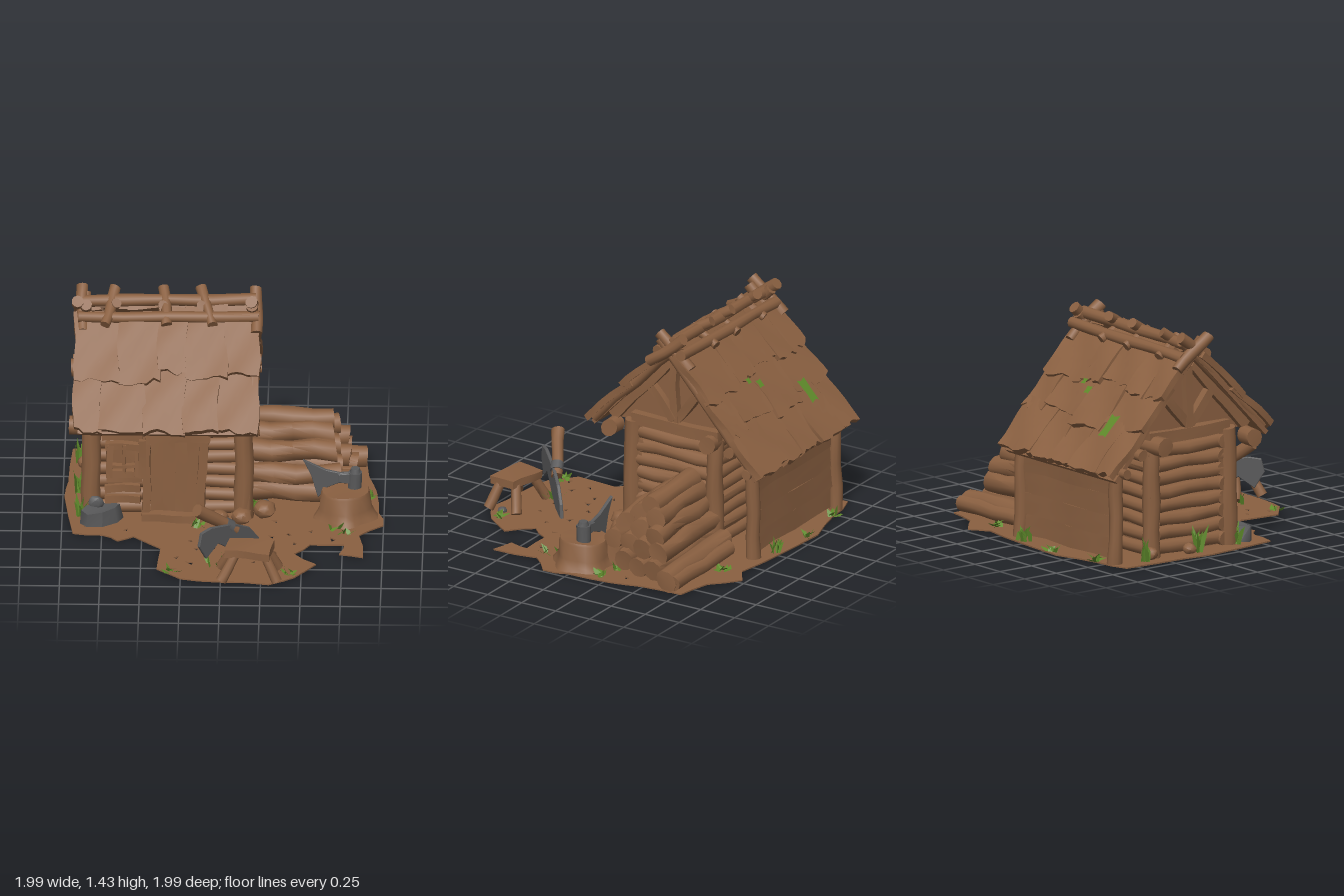
import * as THREE from 'three';
import { toCreasedNormals } from 'three/addons/utils/BufferGeometryUtils.js';

export function createModel() {
  const root = new THREE.Group();
  root.name = 'woodcutterHut';
  let seed = 7;
  const rnd = () => { seed = (seed * 16807) % 2147483647; return seed / 2147483647; };
  const vary = (a) => (rnd() - 0.5) * 2 * a;
  const V = (x, y, z) => new THREE.Vector3(x, y, z);
  const shapeOf = (pts) => new THREE.Shape(pts.map((p) => new THREE.Vector2(...p)));

  const mat = (name, color, side = THREE.FrontSide) => {
    const m = new THREE.MeshStandardMaterial({ color, side });
    m.name = name;
    return m;
  };
  const wood = mat('brownWood', 0x8a6041);
  const iron = mat('darkGrey', 0x59595a);
  const green = mat('leafGreen', 0x5f8a2b, THREE.DoubleSide);

  // Uneven hand-cut look: shift vertices by a smooth wave of their position
  function warp(geo, amp) {
    const p = geo.attributes.position, s = rnd() * 50;
    for (let i = 0; i < p.count; i++) {
      const x = p.getX(i), y = p.getY(i), z = p.getZ(i);
      p.setXYZ(i,
        x + amp * Math.sin(13 * y + 17 * z + s),
        y + amp * Math.sin(15 * x + 11 * z + s * 2),
        z + amp * Math.sin(16 * x + 14 * y + s * 3));
    }
    return toCreasedNormals(geo, 0.8);
  }
  function add(name, geo, material, pos, rot = [0, 0, 0], parent = root) {
    const m = new THREE.Mesh(geo, material);
    m.name = name;
    m.position.set(...pos);
    m.rotation.set(...rot);
    parent.add(m);
    return m;
  }
  function log(name, a, b, r0, r1 = r0, amp = 0.006, material = wood) {
    const A = V(...a), B = V(...b), d = B.clone().sub(A);
    const m = add(name, warp(new THREE.CylinderGeometry(r1, r0, d.length(), 10, 4), amp), material,
      A.clone().add(B).multiplyScalar(0.5).toArray());
    m.quaternion.setFromUnitVectors(V(0, 1, 0), d.normalize());
  }
  const plank = (name, size, pos, rot, amp = 0.006) =>
    add(name, warp(new THREE.BoxGeometry(...size, 4, 3, 3), amp), wood, pos, rot);
  const rock = (name, size, pos, material) => {
    const m = add(name, warp(new THREE.IcosahedronGeometry(1, 1), 0.07), material, pos);
    m.scale.set(...size);
  };

  // Ragged earth patch with small gaps
  const outline = [[-0.95, -0.85], [-0.7, -0.9], [-0.4, -0.98], [0, -0.95], [0.36, -0.9], [0.48, -0.98], [0.65, -0.83],
    [0.88, -0.78], [0.9, -0.5], [0.95, -0.3], [0.97, 0], [1, 0.16], [0.85, 0.3], [0.88, 0.6], [0.73, 0.56], [0.76, 0.43],
    [0.55, 0.43], [0.45, 0.56], [0.59, 0.7], [0.46, 0.88], [0.3, 0.98], [0, 0.95], [-0.25, 0.91], [-0.4, 0.78],
    [-0.38, 0.5], [-0.55, 0.34], [-0.65, 0.4], [-0.75, 0.32], [-0.93, 0.3], [-0.99, -0.2], [-0.97, -0.4]];
  const edge = outline.flatMap(([x, z], i) => {
    const [nx, nz] = outline[(i + 1) % outline.length];
    return [[x, -z], [(x + nx) / 2 + vary(0.014), -(z + nz) / 2 + vary(0.014)]];
  });
  const groundShape = shapeOf(edge);
  const gaps = [[0.55, 0.25], [0.32, 0.12], [0.3, 0.33], [0.05, 0.42], [-0.15, 0.5], [0.1, 0.56], [0.33, 0.55],
    [-0.28, 0.62], [0.42, 0.3], [0.68, 0.36], [0.9, 0.12], [0.84, -0.35], [0.88, -0.06], [-0.2, 0.4], [0.2, 0.68],
    [-0.3, 0.78], [-0.05, 0.5], [0.22, 0.45], [-0.2, 0.7], [0.45, 0.42], [0.05, 0.68], [-0.85, 0.2], [-0.6, 0.25]];
  for (const [x, z] of gaps) {
    const t = rnd() * 6, r = 0.016 + rnd() * 0.016;
    groundShape.holes.push(new THREE.Path([0, 1.4, 3.5].map((k) =>
      new THREE.Vector2(x + r * Math.cos(t + k), -z + r * Math.sin(t + k)))));
  }
  add('ground', new THREE.ExtrudeGeometry(groundShape, { depth: 0.009, bevelEnabled: false }), wood, [0, 0.005, 0], [-Math.PI / 2, 0, 0]);

  // Wall core and gable infill
  add('wallCore', new THREE.BoxGeometry(0.92, 0.74, 0.56), wood, [-0.34, 0.38, -0.28]);
  const gable = shapeOf([[-0.18, 0.74], [0.72, 0.74], [0.27, 1.24]]);
  add('gableInfill', new THREE.ExtrudeGeometry(gable, { depth: 0.92, bevelEnabled: false }), wood, [-0.8, 0, 0], [0, Math.PI / 2, 0]);

  // Horizontal wall logs
  for (let i = 0; i < 8; i++) {
    const y = 0.06 + i * 0.088;
    for (const x of [-0.8, 0.12]) log('sideWallLog', [x, y, 0.02], [x, y, -0.58], 0.046);
    log('frontWallLog', [-0.85, y, 0], [0.15, y, 0], 0.046);
    log('backWallLog', [-0.85, y, -0.55], [0.15, y, -0.55], 0.044);
  }

  // Corner posts, purlins and stub ends under the eaves
  for (const x of [-0.82, 0.13]) {
    log('frontPost', [x, 0.006, 0.05], [x, 0.76, 0.04], 0.064, 0.057);
    log('backPost', [x, 0.006, -0.555], [x, 0.73, -0.555], 0.056, 0.052);
    log('leanToPost', [x, 0.006, -0.84], [x, 0.62, -0.83], 0.046, 0.042);
  }
  for (const [z, y, r] of [[-0.55, 0.73, 0.06], [-0.72, 0.71, 0.036], [-0.84, 0.6, 0.032]])
    log('purlin', [-0.95, y, z], [0.22, y, z], r);
  for (const [a, b] of [[-0.95, -0.84], [0.15, 0.23]]) log('eaveStub', [a, 0.7, 0.16], [b, 0.7, 0.16], 0.058);

  // Lean-to back boards
  for (let i = 0; i < 4; i++)
    plank('backBoard', [0.96, 0.135, 0.035], [-0.35, 0.1 + i * 0.135, -0.82 + vary(0.01)], [vary(0.06), 0, vary(0.015)]);

  // Gable framing and rafters on both ends
  for (const [x, s] of [[0.14, 1], [-0.82, -1]]) {
    plank('tieBeam', [0.07, 0.075, 0.64], [x, 0.77, -0.28]);
    plank('kingPost', [0.05, 0.42, 0.05], [x, 0.98, -0.27]);
    for (const d of [-1, 1]) {
      plank('gableBrace', [0.05, 0.26, 0.055], [x, 0.91, -0.27 + d * 0.085], [d * 0.7, 0, 0]);
      plank('gableRafter', [0.06, 0.62, 0.07], [x, 0.98, -0.27 + d * 0.24], [-d * 0.75, 0, 0]);
    }
    log('rakeLog', [x + s * 0.045, 1.36, -0.34], [x + s * 0.045, 0.74, 0.29], 0.036);
    log('rakeLog', [x + s * 0.04, 1.36, -0.19], [x + s * 0.04, 0.6, -0.88], 0.036);
  }

  // Uneven slab whose lower edge is split into ragged ends
  function slabGeometry(w, l) {
    const geo = new THREE.BoxGeometry(w, 0.042, l, 6, 1, 5), p = geo.attributes.position;
    const jag = Array.from({ length: 7 }, () => vary(0.018));
    for (let i = 0; i < p.count; i++)
      if (p.getZ(i) > l * 0.49) p.setZ(i, p.getZ(i) + jag[Math.round((p.getX(i) / w + 0.5) * 6)]);
    return warp(geo, 0.008);
  }

  // Roof slopes: solid deck under overlapping slabs
  function roofSlope(dir, top, bottom, rows) {
    const dz = Math.abs(bottom[0] - top[0]), dy = top[1] - bottom[1];
    const a = Math.atan2(dy, dz), len = Math.hypot(dy, dz), step = len / rows;
    const at = (t, lift) => [top[1] - t * Math.sin(a) + lift * Math.cos(a), top[0] + dir * (t * Math.cos(a) + lift * Math.sin(a))];
    const turn = (q) => (dir > 0 ? q : Math.PI - q);
    add('roofDeck', new THREE.BoxGeometry(1.1, 0.03, len), wood, [-0.35, ...at(len / 2, -0.06)], [turn(a), 0, 0]);
    for (let r = 0; r < rows; r++) {
      let x = -0.92 + vary(0.01);
      while (x < 0.15) {
        let w = 0.16 + rnd() * 0.2;
        if (0.22 - x - w < 0.12) w = 0.22 - x;
        const l = step * 1.15 + rnd() * 0.05, shift = vary(r === rows - 1 ? 0.01 : 0.04);
        add('roofSlab', slabGeometry(w + 0.012, l), wood,
          [x + w / 2, ...at((r + 1) * step - l / 2 + shift + (r ? 0 : 0.03), -0.018 + vary(0.006))],
          [turn(a - 0.06), vary(0.02), 0]);
        x += w;
      }
    }
    return { at, tilt: turn(a - 0.06) };
  }
  roofSlope(1, [-0.18, 1.28], [0.34, 0.74], 2);
  const back = roofSlope(-1, [-0.35, 1.28], [-0.94, 0.59], 3);

  // Moss patches on the back slope
  const moss = shapeOf([[-0.5, -0.5], [0.1, -0.42], [0.5, -0.5], [0.4, 0.1], [0.5, 0.5], [-0.1, 0.42], [-0.4, 0.5], [-0.42, 0]]);
  for (const [x, t, w, l, lift] of [[-0.645, 0.59, 0.08, 0.17, 0.024], [-0.28, 0.4, 0.05, 0.055, 0.026], [-0.2, 0.35, 0.04, 0.04, 0.024]]) {
    const patch = add('roofMoss', new THREE.ShapeGeometry(moss), green, [x, ...back.at(t, lift)], [back.tilt + Math.PI / 2, 0, 0]);
    patch.scale.set(w, l, 1);
  }

  // Ridge poles held by crossed ties
  log('ridgePole', [-0.88, 1.335, -0.29], [0.2, 1.35, -0.29], 0.038);
  for (const z of [-0.185, -0.36]) log('ridgeSidePole', [-0.9, 1.27, z], [0.22, 1.285, z], 0.036);
  for (const [x, lean] of [[-0.69, -0.05], [-0.37, 0.02], [-0.12, 0.05]]) {
    log('ridgeTie', [x - lean * 0.4, 1.395, -0.36], [x + lean, 1.25, -0.13], 0.034);
    log('ridgeTie', [x - lean * 0.4, 1.35, -0.22], [x, 1.25, -0.4], 0.03);
  }
  for (const x of [-0.89, 0.19])
    for (const d of [-1, 1])
      log('ridgeEndTie', [x + d * 0.012, 1.395, -0.27 - d * 0.1], [x + d * 0.012, 1.2, -0.27 + d * 0.14], 0.038);

  // Door with frame and threshold
  for (let i = 0; i < 4; i++) plank('doorBoard', [0.078, 0.52, 0.035], [-0.41 + i * 0.076, 0.31, 0.085], [0, 0, 0], 0.003);
  plank('doorJamb', [0.05, 0.6, 0.08], [-0.475, 0.33, 0.09]);
  plank('doorJamb', [0.055, 0.58, 0.08], [-0.13, 0.31, 0.1], [0, 0, -0.05]);
  plank('doorLintel', [0.4, 0.075, 0.09], [-0.28, 0.605, 0.105], [0, 0, 0.02]);
  plank('doorSill', [0.4, 0.05, 0.12], [-0.3, 0.045, 0.1]);

  // Window, shutter and patch boards
  plank('windowPane', [0.16, 0.16, 0.03], [-0.61, 0.43, 0.06]);
  for (const y of [0.33, 0.52]) plank('windowRail', [0.25, 0.045, 0.05], [-0.6, y, 0.1]);
  for (const x of [-0.7, -0.61, -0.53]) plank('windowStile', [x === -0.61 ? 0.02 : 0.04, 0.22, 0.05], [x, 0.425, 0.1]);
  plank('windowBar', [0.18, 0.02, 0.04], [-0.61, 0.39, 0.1]);
  plank('shutter', [0.045, 0.26, 0.04], [-0.5, 0.45, 0.125], [0, 0, 0.04]);
  plank('windowHead', [0.25, 0.05, 0.05], [-0.62, 0.58, 0.08], [0, 0, -0.03]);
  for (let i = 0; i < 3; i++) plank('patchBoard', [0.22, 0.05, 0.03], [-0.62, 0.13 + i * 0.075, 0.06], [0, 0, vary(0.12)]);

  // Stacked firewood: [height, front end, first z, count]
  const stack = [[0.085, 0.73, -0.16, 5], [0.2, 0.71, -0.18, 4], [0.31, 0.69, -0.25, 3], [0.4, 0.68, -0.34, 2]];
  for (const [y, end, z0, n] of stack)
    for (let i = 0; i < n; i++) {
      const z = z0 - i * 0.125 + vary(0.012), h = y + vary(0.012), r = 0.066 + rnd() * 0.01;
      log('firewoodLog', [0.16, h + 0.015, z + 0.02], [end + i * 0.035 + vary(0.02), h, z - 0.01], r, r - 0.003, 0.01);
    }
  log('firewoodLog', [0.18, 0.475, -0.42], [0.68, 0.455, -0.43], 0.066, 0.066);
  log('firewoodLog', [0.2, 0.07, -0.7], [0.88, 0.065, -0.71], 0.052, 0.052);

  // Chopping stump with a lobed root flare
  const stump = [[0, 0], [0.2, 0], [0.18, 0.03], [0.162, 0.07], [0.152, 0.165], [0.145, 0.18], [0, 0.18]];
  const stumpGeo = new THREE.LatheGeometry(stump.map((p) => new THREE.Vector2(...p)), 20);
  const sp = stumpGeo.attributes.position;
  for (let i = 0; i < sp.count; i++) {
    const x = sp.getX(i), z = sp.getZ(i), k = 1 + 0.1 * Math.sin(5 * Math.atan2(z, x)) * Math.max(0, 1 - sp.getY(i) / 0.12);
    sp.setXYZ(i, x * k, sp.getY(i), z * k);
  }
  add('stump', warp(stumpGeo, 0.005), wood, [0.765, 0.006, 0.01]);

  // Axe heads: thin extruded blades
  const blade = (name, pts, pos, yaw, depth = 0.014) => add(name,
    new THREE.ExtrudeGeometry(shapeOf(pts),
      { depth, bevelEnabled: true, bevelSize: 0.004, bevelThickness: 0.004, bevelSegments: 1 }), iron, pos, [0, yaw, 0]);
  blade('stumpAxeBlade', [[0.5, 0.37], [0.55, 0.27], [0.59, 0.12], [0.65, 0.19], [0.72, 0.22], [0.82, 0.21], [0.82, 0.29], [0.73, 0.28], [0.64, 0.3]],
    [0, 0, -0.033], 0);
  blade('stumpAxeCheek', [[0.72, 0.225], [0.82, 0.215], [0.82, 0.285], [0.72, 0.275]], [0, 0, -0.043], 0, 0.034);
  log('stumpAxeSocket', [0.82, 0.18, -0.025], [0.82, 0.29, -0.025], 0.044, 0.044, 0.002, iron);
  log('stumpAxeCap', [0.82, 0.285, -0.025], [0.82, 0.315, -0.025], 0.036, 0.028, 0.002, iron);
  blade('leaningAxeBlade', [[0, 0.22], [0.02, 0.3], [0.1, 0.31], [0.3, 0.27], [0.43, 0.2], [0.51, 0.1], [0.53, 0.02], [0.4, 0.03], [0.3, 0.09], [0.16, 0.19], [0.06, 0.12]],
    [-0.14, 0, 0.87], Math.PI / 4);
  log('leaningAxeHandle', [-0.15, 0.42, 0.77], [0.09, 0.22, 0.635], 0.042, 0.034, 0.004);
  log('leaningAxeCollar', [0.02, 0.277, 0.673], [0.06, 0.244, 0.652], 0.042, 0.042, 0.002, iron);

  // Small bench with splayed legs
  plank('benchSeat', [0.28, 0.05, 0.19], [0.18, 0.2, 0.87], [0, -0.12, 0]);
  for (const sx of [-1, 1])
    for (const sz of [-1, 1])
      log('benchLeg', [0.18 + sx * 0.175, 0.026, 0.865 + sz * 0.105], [0.18 + sx * 0.09, 0.19, 0.87 + sz * 0.05], 0.034, 0.03, 0.003);

  // Foundation stones: a flat grey slab by the corner, small rocks elsewhere
  const slab = new THREE.CylinderGeometry(0.125, 0.14, 0.1, 8, 1);
  add('greySlab', warp(slab, 0.012), iron, [-0.76, 0.062, 0.14], [0.05, 0.3, -0.04]).scale.set(1, 1, 0.55);
  rock('greyStone', [0.05, 0.05, 0.03], [-0.79, 0.125, 0.105], iron);
  rock('greyStone', [0.035, 0.035, 0.035], [0.26, 0.04, -0.06], iron);
  rock('greyStone', [0.03, 0.02, 0.03], [0.33, 0.022, 0.88], iron);
  for (const [x, z, s] of [[0.26, 0.05, 0.07], [0.12, 0.14, 0.065], [-0.02, 0.13, 0.055], [-0.86, -0.6, 0.055], [-0.88, -0.3, 0.045]])
    rock('brownStone', [s, s * 0.8, s], [x, s * 0.9, z], wood);

  // Grass tufts: [x, z, height, spread]
  const tufts = [[-0.89, 0.08, 0.17, 0.02], [-0.89, -0.66, 0.17, 0.03], [-0.89, -0.25, 0.19, 0.03], [0, -0.92, 0.11, 0.04],
    [-0.7, -0.9, 0.07, 0.03], [-0.33, -0.95, 0.06, 0.03], [0.42, -0.8, 0.06, 0.04], [0.2, -0.06, 0.1, 0.03],
    [0.73, 0.26, 0.07, 0.06], [0.77, -0.23, 0.06, 0.05], [0.89, -0.2, 0.06, 0.04], [-0.02, 0.73, 0.08, 0.06],
    [-0.3, 0.82, 0.05, 0.04], [0.43, 0.84, 0.05, 0.03], [-0.15, 0.2, 0.08, 0.04]];
  for (const [x, z, h, spread] of tufts) {
    const tuft = new THREE.Group();
    tuft.name = 'grassTuft';
    tuft.position.set(x, 0.016, z);
    root.add(tuft);
    const flat = h < 0.09 ? 1.25 : 0.3;
    for (let i = 0; i < 9; i++) {
      const k = h * (0.6 + rnd() * 0.4);
      const leaf = shapeOf([[-0.012, 0], [0.012, 0], [0.02, k * 0.5], [0.025, k], [-0.008, k * 0.55]]);
      const m = add('grassBlade', new THREE.ShapeGeometry(leaf), green, [vary(spread), 0, vary(spread * 0.7)], [0, 0, 0], tuft);
      m.rotation.set(vary(flat), rnd() * 6, vary(0.2), 'YXZ');
    }
  }
  return root;
}
